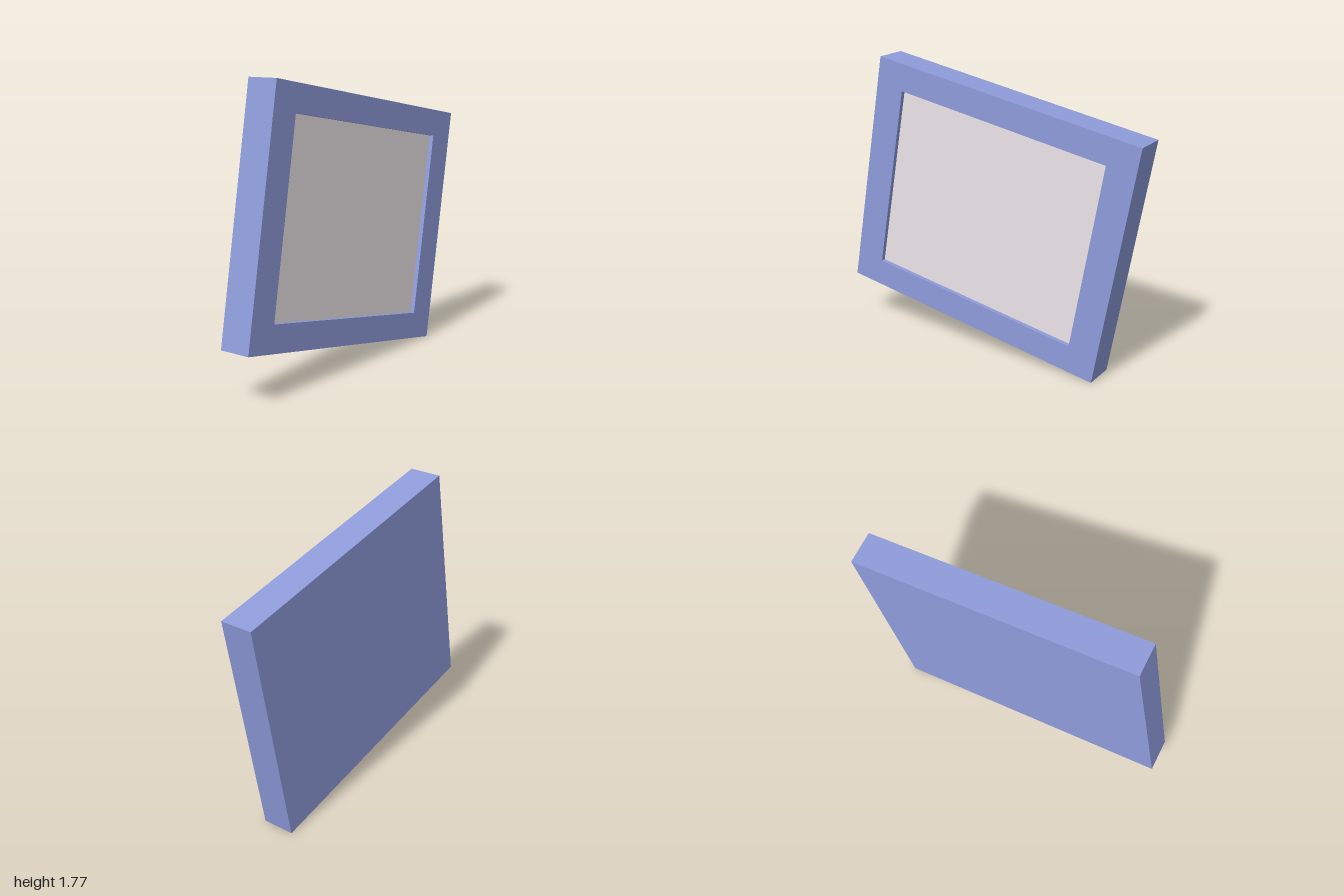
import * as THREE from 'three';

const W = 1.767, H = 1.483, T = 0.2;      // outer size (along z, y) and thickness
const IW = 1.396, IH = 1.152, RECESS = 0.03; // opening and its depth

function rect(target, w, h) {
  target.moveTo(-w / 2, -h / 2);
  target.lineTo(w / 2, -h / 2);
  target.lineTo(w / 2, h / 2);
  target.lineTo(-w / 2, h / 2);
  target.closePath();
  return target;
}

export function createModel() {
  const blue = new THREE.MeshStandardMaterial({ color: 0x8f9cdb });
  const pale = new THREE.MeshStandardMaterial({ color: 0xece4e8 });

  // Built facing +z, then turned to face +x and tilted
  const picture = new THREE.Group();
  picture.name = 'pictureFrame';
  const add = (name, geometry, material, z) => {
    const mesh = new THREE.Mesh(geometry, material);
    mesh.name = name;
    mesh.position.z = z;
    picture.add(mesh);
  };

  // Solid backing with a raised border around the opening
  add('backing', new THREE.BoxGeometry(W, H, T - RECESS), blue, -RECESS / 2);
  const border = rect(new THREE.Shape(), W, H);
  border.holes.push(rect(new THREE.Path(), IW, IH));
  add('border', new THREE.ExtrudeGeometry(border, { depth: RECESS, bevelEnabled: false }), blue, T / 2 - RECESS);

  // Pale sheet on the floor of the recess
  add('panel', new THREE.PlaneGeometry(IW, IH), pale, T / 2 - RECESS + 0.002);

  picture.rotation.y = Math.PI / 2;

  const model = new THREE.Group();
  const tilt = new THREE.Group();
  tilt.name = 'tiltedFrame';
  tilt.rotation.x = -THREE.MathUtils.degToRad(10);
  tilt.position.y = 0.884;
  tilt.add(picture);
  model.add(tilt);
  return model;
}
